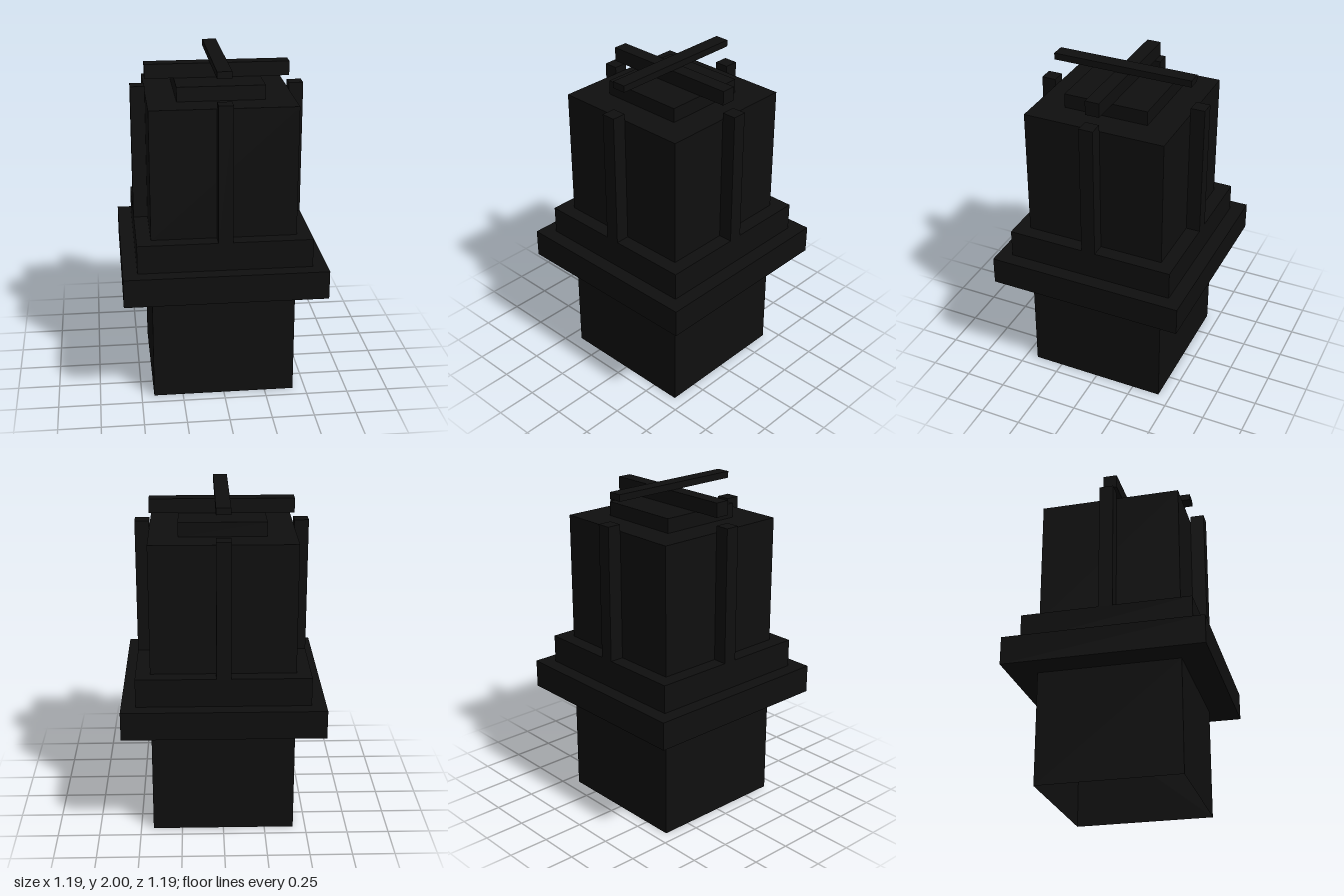
import * as THREE from 'three';

export function createModel() {
  const model = new THREE.Group();
  model.name = 'steppedPillar';
  const black = new THREE.MeshStandardMaterial({ color: 0x0f0f0f });
  black.name = 'black';
  const shell = new THREE.MeshStandardMaterial({ color: 0x0f0f0f, side: THREE.DoubleSide });
  shell.name = 'black shell';

  // Box given by half widths and its bottom and top heights
  function block(name, hx, hz, y0, y1, parent = model) {
    const mesh = new THREE.Mesh(new THREE.BoxGeometry(hx * 2, y1 - y0, hz * 2), black);
    mesh.name = name;
    mesh.position.y = (y0 + y1) / 2;
    parent.add(mesh);
    return mesh;
  }

  // Hollow base: four walls, open underneath
  const base = new THREE.Group();
  base.name = 'base';
  for (let i = 0; i < 4; i++) {
    const wall = new THREE.Mesh(new THREE.PlaneGeometry(0.85, 0.68), shell);
    const a = i * Math.PI / 2;
    wall.name = 'baseWall';
    wall.position.set(Math.sin(a) * 0.425, 0.34, Math.cos(a) * 0.425);
    wall.rotation.y = a;
    base.add(wall);
  }
  model.add(base);

  // Collar steps and main body
  block('lowerCollar', 0.595, 0.595, 0.68, 0.85);
  block('upperCollar', 0.51, 0.51, 0.85, 1.02);
  block('upperBody', 0.425, 0.425, 1.02, 1.79);

  // One rib in the middle of each side
  for (let i = 0; i < 4; i++) {
    const side = new THREE.Group();
    side.name = 'ribSide';
    side.rotation.y = i * Math.PI / 2;
    block('rib', 0.0425, 0.0425, 1.02, 1.83, side).position.z = 0.4675;
    model.add(side);
  }

  // Raised cap and crossed bars
  block('cap', 0.255, 0.255, 1.79, 1.875);
  block('lowerBar', 0.425, 0.0425, 1.875, 1.96);
  block('upperBar', 0.0425, 0.425, 1.96, 2.0);

  return model;
}
